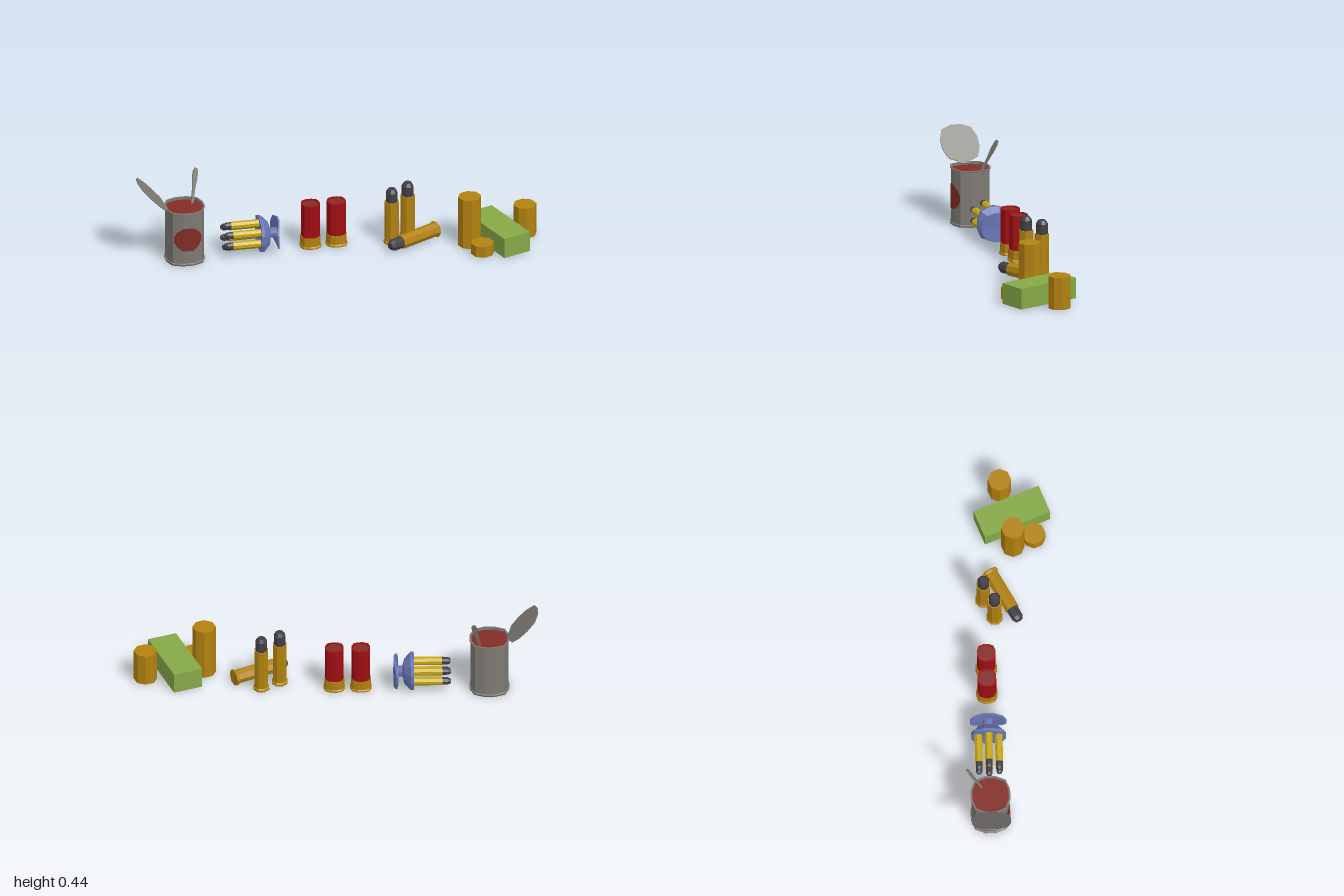
import * as THREE from 'three';

const mat = (name, color, double) => {
  const m = new THREE.MeshStandardMaterial({ color, flatShading: true });
  m.name = name;
  if (double) m.side = THREE.DoubleSide;
  return m;
};

export function createModel() {
  const root = new THREE.Group();
  root.name = 'ammunitionAndCan';
  const M = {
    tin: mat('tin', 0x7d7a73, true),
    stew: mat('stew', 0x832c25, true),
    brass: mat('brass', 0xb2820f),
    yellow: mat('yellowBrass', 0xc6a816),
    lead: mat('lead', 0x404045),
    red: mat('redShell', 0xa00d12, true),
    blue: mat('bluePlastic', 0x6875b4),
    green: mat('greenBox', 0x85a846),
  };

  const add = (parent, name, geo, material, x = 0, y = 0, z = 0) => {
    const m = new THREE.Mesh(geo, material);
    m.name = name;
    m.position.set(x, y, z);
    parent.add(m);
    return m;
  };
  const group = (name, x, y, z) => {
    const g = new THREE.Group();
    g.name = name;
    g.position.set(x, y, z);
    root.add(g);
    return g;
  };
  const lathe = (pts, sides, start) =>
    new THREE.LatheGeometry(pts.map(p => new THREE.Vector2(...p)), sides, start);
  // Eight-sided turned part with flats facing the axes
  const octagon = pts => lathe(pts, 8, Math.PI / 8);
  // Twelve-sided turned part with its diagonals pushed out to a rounded square; radii are half widths
  const rounded = pts => {
    const k = 1 / Math.cos(Math.PI / 12);
    const geo = lathe(pts.map(([r, y]) => [r * k, y]), 12, Math.PI / 12);
    const p = geo.attributes.position;
    for (let i = 0; i < p.count; i++) {
      const x = p.getX(i), z = p.getZ(i);
      if (Math.abs(Math.abs(x) - Math.abs(z)) < 1e-4) p.setXYZ(i, x * 1.079, p.getY(i), z * 1.079);
    }
    return geo;
  };
  const disc = (r, y0, y1) => [[0, y0], [r, y0], [r, y1], [0, y1]];

  // Open can
  const can = group('openCan', -0.762, 0, -0.107);
  add(can, 'canWall', rounded([[0.098, 0.003], [0.098, 0.009], [0.093, 0.012], [0.093, 0.28],
    [0.098, 0.283], [0.098, 0.288], [0.09, 0.288], [0.09, 0.268]]), M.tin);
  add(can, 'canBottom', rounded(disc(0.0975, 0, 0.005)), M.lead);
  add(can, 'canContents', rounded(disc(0.0905, 0.268, 0.274)), M.stew);

  // Round label folded over the front faces of the can
  const cols = [[-0.069, 0.016], [-0.053, 0.042], [-0.025, 0.062], [0.025, 0.062], [0.053, 0.042], [0.069, 0.016]];
  const pos = [], idx = [];
  cols.forEach(([x, h], i) => {
    const z = 0.0945 - Math.max(0, Math.abs(x) - 0.025) * 0.402;
    pos.push(x, 0.142 - h, z, x, 0.142 + h, z);
    if (i) {
      const a = 2 * i - 2;
      idx.push(a, a + 2, a + 1, a + 1, a + 2, a + 3);
    }
  });
  const label = new THREE.BufferGeometry();
  label.setAttribute('position', new THREE.Float32BufferAttribute(pos, 3));
  label.setIndex(idx);
  label.computeVertexNormals();
  add(can, 'canLabel', label, M.stew);

  // Bent-back lid and its hinge strip
  const lid = add(can, 'canLid', rounded(disc(0.097, -0.002, 0.002)), M.tin, -0.167, 0.366, 0);
  lid.scale.x = 1.08;
  lid.rotation.z = -Math.PI / 4 - 0.02;
  const hinge = add(can, 'lidHinge', new THREE.BoxGeometry(0.03, 0.004, 0.05), M.tin, -0.098, 0.293, 0);
  hinge.rotation.z = -Math.PI / 4;

  // Spoon handle sticking out of the can
  const outline = [[-0.006, 0], [0.006, 0], [0.007, 0.1], [0.014, 0.155], [0.013, 0.19], [0.006, 0.208],
    [-0.006, 0.208], [-0.013, 0.19], [-0.014, 0.155], [-0.007, 0.1]];
  const spoon = add(can, 'spoonHandle', new THREE.ExtrudeGeometry(
    new THREE.Shape(outline.map(p => new THREE.Vector2(...p))), { depth: 0.008, bevelEnabled: false }),
  M.tin, 0.04, 0.244, -0.034);
  const up = new THREE.Vector3(0.039, 0.182, -0.083).normalize();
  const side = new THREE.Vector3(1, 0, -0.3).projectOnPlane(up).normalize();
  spoon.quaternion.setFromRotationMatrix(
    new THREE.Matrix4().makeBasis(side, up, new THREE.Vector3().crossVectors(side, up)));

  // Six-round holder: axis turned so local +y points along +x
  const holder = group('roundHolder', -0.388, 0.093, -0.107);
  holder.rotation.z = -Math.PI / 2;
  add(holder, 'holderBody', rounded([[0, 0], [0.087, 0], [0.087, 0.016], [0.056, 0.048],
    [0.024, 0.056], [0.024, 0.096], [0, 0.096]]), M.blue);
  const plate = rounded(disc(1, 0, 0.009));
  const pp = plate.attributes.position;
  for (let i = 0; i < pp.count; i++) {
    const z = pp.getZ(i) * 0.09;
    pp.setXYZ(i, pp.getX(i) * 0.074, pp.getY(i) + 0.093 - 2 * z * z, z);
  }
  add(holder, 'holderGrip', plate, M.blue);
  for (let i = 0; i < 6; i++) {
    const a = i * Math.PI / 3, x = 0.058 * Math.cos(a), z = 0.058 * Math.sin(a);
    add(holder, 'smallCase', octagon(disc(0.02, -0.14, 0.002)), M.yellow, x, 0, z);
    add(holder, 'smallBullet', octagon([[0, -0.182], [0.01, -0.182], [0.017, -0.168], [0.018, -0.139], [0, -0.139]]),
      M.lead, x, 0, z);
  }

  // Two shotgun shells
  for (const x of [-0.126, 0.005]) {
    const g = group('shotgunShell', x, 0, -0.108);
    add(g, 'shellBase', rounded([[0, 0.002], [0.053, 0.002], [0.053, 0.009], [0.049, 0.014], [0.049, 0.061], [0, 0.061]]), M.brass);
    add(g, 'shellTube', rounded([[0.046, 0.06], [0.046, 0.235], [0.039, 0.235], [0.039, 0.226]]), M.red);
    add(g, 'shellCap', rounded(disc(0.0395, 0.222, 0.229)), M.stew);
  }

  // Rifle rounds: two standing, one lying
  const rifleRound = (x, y, z) => {
    const g = group('rifleRound', x, y, z);
    add(g, 'roundCase', octagon([[0, 0.002], [0.042, 0.002], [0.042, 0.01], [0.036, 0.018],
      [0.036, 0.228], [0, 0.228]]), M.brass);
    add(g, 'roundBullet', octagon([[0, 0.225], [0.03, 0.225], [0.03, 0.279], [0.019, 0.297], [0, 0.297]]), M.lead);
    return g;
  };
  rifleRound(0.275, 0, -0.06);
  rifleRound(0.366, 0, -0.113);
  rifleRound(0.503, 0.042, -0.08).quaternion.setFromUnitVectors(
    new THREE.Vector3(0, 1, 0), new THREE.Vector3(-0.88, 0, 0.475).normalize());

  // Plain brass canisters of three heights
  for (const [x, z, h] of [[0.647, 0.041, 0.267], [0.938, -0.018, 0.166], [0.69, 0.146, 0.06]]) {
    add(root, 'brassCanister', new THREE.CylinderGeometry(0.058, 0.058, h - 0.002, 8), M.brass, x, h / 2 + 0.001, z);
  }

  // Green ammunition box
  add(root, 'ammoBox', new THREE.BoxGeometry(0.149, 0.105, 0.349), M.green, 0.791, 0.055, 0.039).rotation.y = 0.368;

  return root;
}
